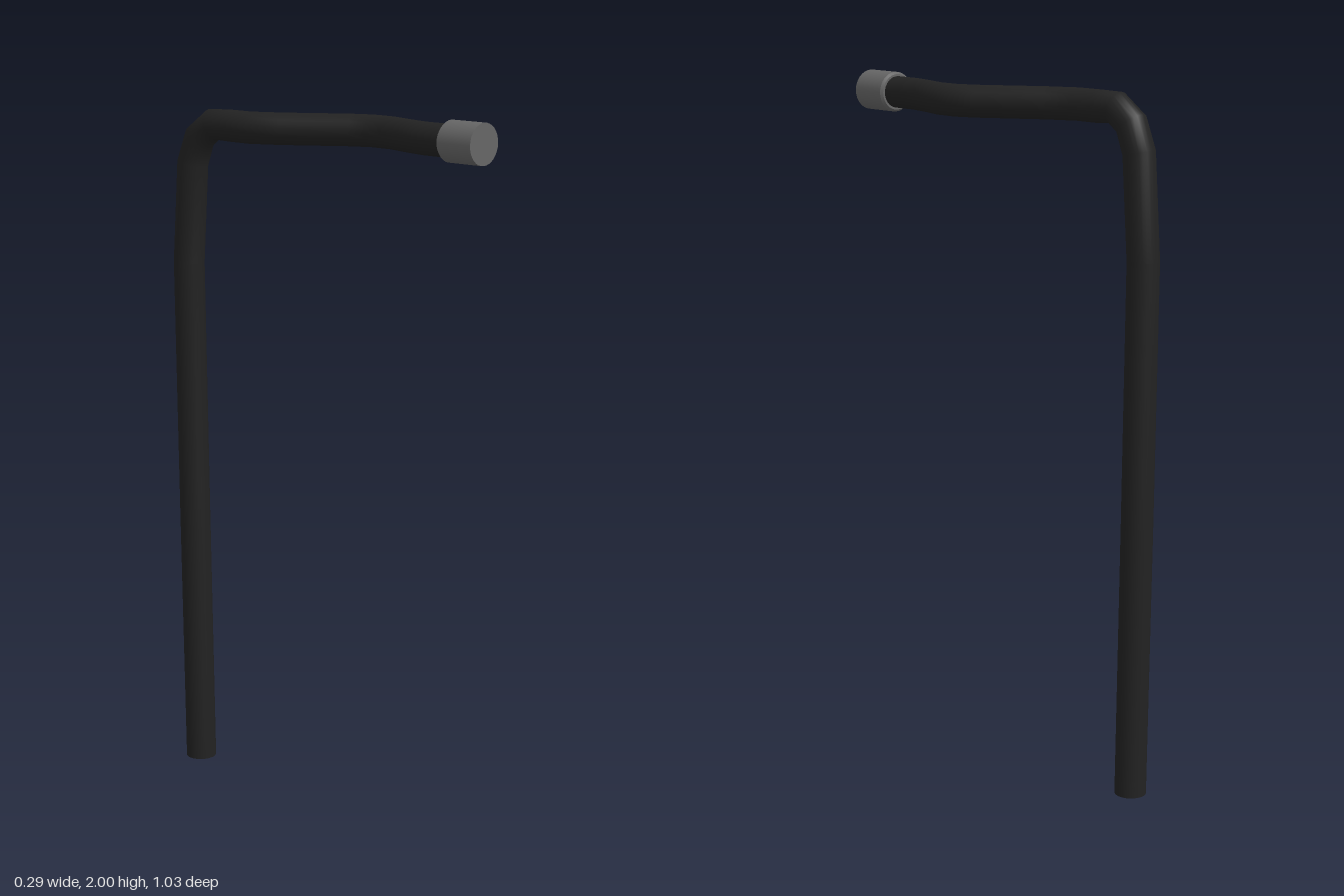
import * as THREE from 'three';

// Curve whose samples fall exactly on the given points, with averaged tangents at the bends
class BendCurve extends THREE.Curve {
  constructor(points) {
    super();
    this.points = points;
  }
  getPointAt(u, target = new THREE.Vector3()) {
    return target.copy(this.points[Math.round(u * (this.points.length - 1))]);
  }
  getTangentAt(u, target = new THREE.Vector3()) {
    const p = this.points, last = p.length - 1, i = Math.round(u * last);
    const before = new THREE.Vector3(), after = new THREE.Vector3();
    if (i > 0) before.subVectors(p[i], p[i - 1]).normalize();
    if (i < last) after.subVectors(p[i + 1], p[i]).normalize();
    return target.addVectors(before, after).normalize();
  }
}

export function createModel() {
  const group = new THREE.Group();
  const rubber = new THREE.MeshStandardMaterial({ color: 0x222222 });
  const metal = new THREE.MeshStandardMaterial({ color: 0x666666 });
  const radius = 0.045, sides = 24, height = 1.945;

  const add = (name, geometry, material) => {
    const mesh = new THREE.Mesh(geometry, material);
    mesh.name = name;
    group.add(mesh);
    return mesh;
  };

  // Hose: long drop, bend at the top, then a level S-curve to the front
  const path = [
    [-0.1, 0.006, -0.45], [-0.1, 0.04, -0.45], [-0.1, 0.8, -0.461],
    [-0.1, 1.54, -0.47], [-0.099, 1.83, -0.449], [-0.094, 1.905, -0.423],
    [-0.089, height, -0.37], [-0.08, height, -0.312], [-0.08, height, -0.228],
    [-0.04, height, -0.145], [0.073, height, 0.017], [0.098, height, 0.077],
    [0.097, height, 0.15], [0.073, height, 0.233], [0.055, height, 0.31],
    [0.055, height, 0.42],
  ].map((p) => new THREE.Vector3(...p));
  add('hose', new THREE.TubeGeometry(new BendCurve(path), path.length - 1, radius, sides), rubber);

  // Closed lower end of the hose
  const end = add('hoseEnd', new THREE.CircleGeometry(radius, sides), rubber);
  end.position.copy(path[0]);
  end.quaternion.setFromUnitVectors(
    new THREE.Vector3(0, 0, 1), path[0].clone().sub(path[1]).normalize());

  // Connector: cylinder with a small chamfer at the hose side
  const back = 0.395, front = 0.517, r = 0.057;
  const cap = new THREE.Group();
  cap.name = 'connector';
  cap.position.set(0.055, height, 0);
  cap.rotation.x = Math.PI / 2;
  const rings = [[0, back, r - 0.006, back], [r - 0.006, back, r, back + 0.007],
    [r, back + 0.007, r, front], [r, front, 0, front]];
  const names = ['connectorBack', 'connectorChamfer', 'connectorSleeve', 'connectorFace'];
  rings.forEach(([r0, y0, r1, y1], i) => {
    const profile = [new THREE.Vector2(r0, y0), new THREE.Vector2(r1, y1)];
    const mesh = new THREE.Mesh(new THREE.LatheGeometry(profile, 32), metal);
    mesh.name = names[i];
    cap.add(mesh);
  });
  group.add(cap);

  return group;
}
